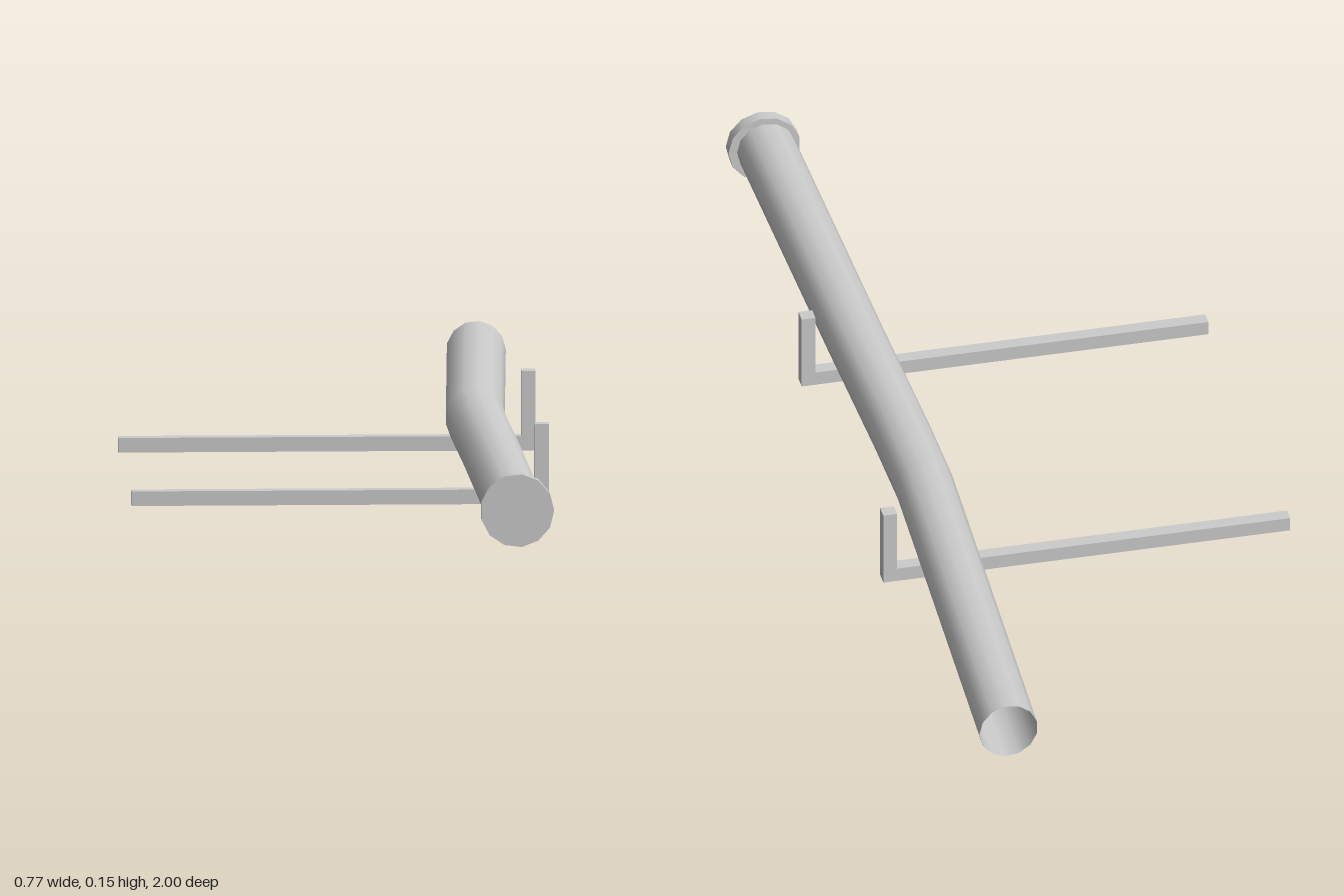
import * as THREE from 'three';

const SIDES = 13;
const AXIS_Y = 0.085;

export function createModel() {
  const model = new THREE.Group();
  const grey = new THREE.MeshStandardMaterial({ color: 0xcccccc });
  const greyOpen = new THREE.MeshStandardMaterial({ color: 0xcccccc, side: THREE.DoubleSide });

  function add(name, geometry, material) {
    const mesh = new THREE.Mesh(geometry, material);
    mesh.name = name;
    model.add(mesh);
    return mesh;
  }

  // Gently bent hollow pipe: [z, centre x] for each ring, open at the back
  const rings = [[-1, 0.299], [-0.33, 0.273], [-0.17, 0.267], [0, 0.27], [0.33, 0.281], [0.98, 0.299]];
  const pipe = new THREE.CylinderGeometry(0.055, 0.055, 2, SIDES, rings.length - 1, true);
  pipe.rotateX(Math.PI / 2);
  pipe.rotateZ(-Math.PI / 2 + Math.PI / 2);
  const pos = pipe.attributes.position;
  for (let i = 0; i < pos.count; i++) {
    // rows of the cylinder run from front (+z) to back
    const row = Math.floor(i / (SIDES + 1));
    const [z, x] = rings[rings.length - 1 - row];
    const a = ((i % (SIDES + 1)) / SIDES) * Math.PI * 2;
    pos.setXYZ(i, x + 0.055 * Math.cos(a), AXIS_Y - 0.055 * Math.sin(a), z);
    pipe.attributes.normal.setXYZ(i, Math.cos(a), -Math.sin(a), 0);
  }
  // reversed angle direction matches the outward winding
  add('pipe', pipe, greyOpen);

  // Wider end cap closing the front of the pipe
  const cap = new THREE.CylinderGeometry(0.068, 0.068, 0.023, SIDES);
  cap.rotateY(Math.PI / 2);
  cap.rotateX(Math.PI / 2);
  add('endCap', cap, grey).position.set(0.302, AXIS_Y, 0.9885);

  // Two L-shaped brackets: a long arm with a short upright stop
  const outline = new THREE.Shape([
    [-0.384, 0], [0.384, 0], [0.384, 0.148], [0.358, 0.148], [0.358, 0.027], [-0.384, 0.027],
  ].map(([x, y]) => new THREE.Vector2(x, y)));
  const bracket = new THREE.ExtrudeGeometry(outline, { depth: 0.026, bevelEnabled: false });
  bracket.translate(0, 0, -0.013);
  for (const [name, z] of [['frontBracket', 0.333], ['backBracket', -0.333]]) {
    add(name, bracket, grey).position.z = z;
  }

  return model;
}
